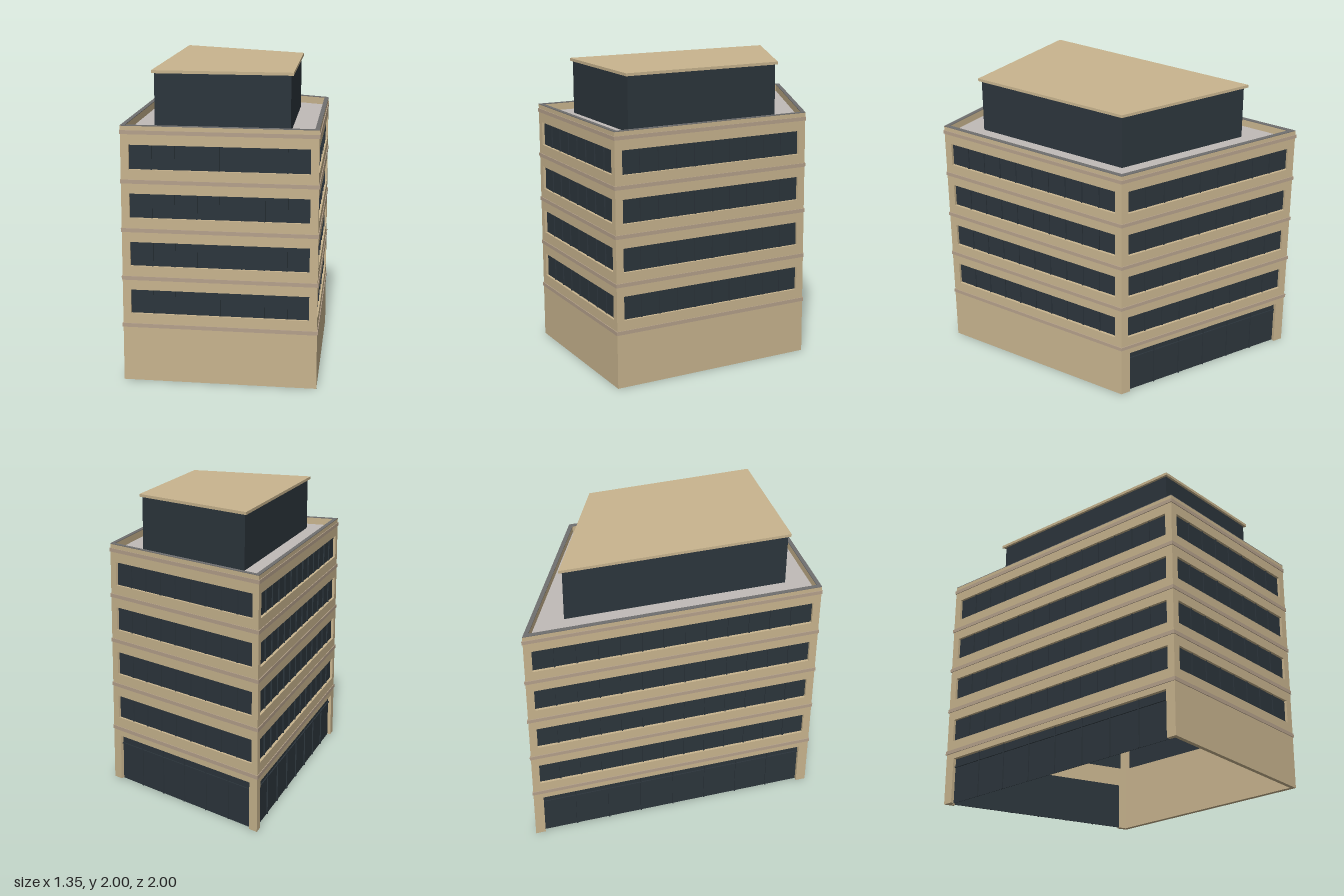
import * as THREE from 'three';

const material = (name, color) => {
  const m = new THREE.MeshStandardMaterial({ color });
  m.name = name;
  return m;
};

// Plan corners as [x, z]: front left, front right, back right, back left
const PLAN = [[-0.585, 0.99], [0.667, 0.97], [0.583, -0.458], [-0.67, -1]];
const PENTHOUSE = [[-0.405, 0.8], [0.467, 0.787], [0.4, -0.328], [-0.468, -0.7]];
const WALL_TOP = 1.67, THICK = 0.028;
const WINDOW_Y = [0.45, 0.765, 1.08, 1.393], WINDOW_H = 0.158;
const STORE_H = 0.318;

// Direction of the plan edge leaving corner i, and its length
function edge(plan, i) {
  const p = plan[i], q = plan[(i + 1) % plan.length];
  const dx = q[0] - p[0], dz = q[1] - p[1], length = Math.hypot(dx, dz);
  return { dx: dx / length, dz: dz / length, length };
}

// Move every side of a plan outward by d
function offset(plan, d) {
  return plan.map((p, i) => {
    const a = edge(plan, (i + plan.length - 1) % plan.length), b = edge(plan, i);
    const k = d / (1 + a.dx * b.dx + a.dz * b.dz);
    return [p[0] - (a.dz + b.dz) * k, p[1] + (a.dx + b.dx) * k];
  });
}

const points = (plan) => plan.map(([x, z]) => new THREE.Vector2(x, -z));

// Horizontal slab from y0 to y1, optionally hollow
function slab(name, plan, y0, y1, mat, hole) {
  const shape = new THREE.Shape(points(plan));
  if (hole) shape.holes.push(new THREE.Path(points(hole)));
  const geo = new THREE.ExtrudeGeometry(shape, { depth: y1 - y0, bevelEnabled: false });
  geo.rotateX(-Math.PI / 2).translate(0, y0, 0);
  const mesh = new THREE.Mesh(geo, mat);
  mesh.name = name;
  return mesh;
}

function box(name, x0, x1, y0, y1, z0, z1, mat) {
  const mesh = new THREE.Mesh(new THREE.BoxGeometry(x1 - x0, y1 - y0, z1 - z0), mat);
  mesh.position.set((x0 + x1) / 2, (y0 + y1) / 2, (z0 + z1) / 2);
  mesh.name = name;
  return mesh;
}

// Recessed glass with slim upright fins
function glazing(name, x0, x1, y0, y1, depth, panels, mat) {
  const g = new THREE.Group();
  g.name = name;
  g.add(box('glass', x0, x1, y0, y1, -depth - 0.004, -depth, mat));
  for (let i = 1; i < panels; i++) {
    const x = x0 + ((x1 - x0) * i) / panels;
    g.add(box('mullion', x - 0.004, x + 0.004, y0, y1, -depth, -depth + 0.008, mat));
  }
  return g;
}

// One facade, built flat in x and y, then turned onto its plan edge
function facade(name, i, panels, storePanels, stone, glass) {
  const g = new THREE.Group();
  g.name = name;
  const { dx, dz, length: L } = edge(PLAN, i);
  const m = 0.052, s = 0.068;

  const outline = storePanels
    ? [[0, 0], [s, 0], [s, STORE_H], [L - s, STORE_H], [L - s, 0], [L, 0], [L, WALL_TOP], [0, WALL_TOP]]
    : [[0, 0], [L, 0], [L, WALL_TOP], [0, WALL_TOP]];
  const shape = new THREE.Shape(outline.map((p) => new THREE.Vector2(...p)));
  for (const y of WINDOW_Y) {
    const hole = [[m, y], [m, y + WINDOW_H], [L - m, y + WINDOW_H], [L - m, y]];
    shape.holes.push(new THREE.Path(hole.map((p) => new THREE.Vector2(...p))));
    g.add(glazing('windowBand', m, L - m, y, y + WINDOW_H, 0.018, panels, glass));
  }
  const geo = new THREE.ExtrudeGeometry(shape, { depth: THICK, bevelEnabled: false });
  geo.translate(0, 0, -THICK);

  // Mitre the inner edges so neighbouring walls meet
  const inner = offset(PLAN, -THICK), pos = geo.attributes.position;
  const along = (p) => (p[0] - PLAN[i][0]) * dx + (p[1] - PLAN[i][1]) * dz;
  const start = along(inner[i]), end = along(inner[(i + 1) % 4]);
  for (let v = 0; v < pos.count; v++) {
    if (pos.getZ(v) > -THICK / 2) continue;
    if (pos.getX(v) < 1e-4) pos.setX(v, start);
    else if (pos.getX(v) > L - 1e-4) pos.setX(v, end);
  }
  geo.computeVertexNormals();
  const wall = new THREE.Mesh(geo, stone);
  wall.name = 'wall';
  g.add(wall);

  // Ground floor shop glazing with a transom
  if (storePanels) {
    g.add(glazing('storefront', s, L - s, 0, STORE_H, 0.024, storePanels, glass));
    g.add(box('transom', s, L - s, 0.256, 0.264, -0.024, -0.016, glass));
  }

  g.position.set(PLAN[i][0], 0, PLAN[i][1]);
  g.rotation.y = Math.atan2(-dz, dx);
  return g;
}

export function createModel() {
  const stone = material('sandstone', 0xc8b48e);
  const trim = material('bandTrim', 0xb5a18b);
  const glass = material('darkGlass', 0x2c353c);
  const deck = material('roofDeck', 0xc0bab7);
  const coping = material('copingGrey', 0x6f6f6f);

  const model = new THREE.Group();
  model.name = 'officeBuilding';

  // Four walls; the shops are on the back and right sides
  model.add(
    facade('frontFacade', 0, 8, 0, stone, glass),
    facade('leftFacade', 1, 10, 0, stone, glass),
    facade('backFacade', 2, 9, 6, stone, glass),
    facade('rightFacade', 3, 13, 8, stone, glass)
  );

  // Floor bands
  for (let i = 0; i < 5; i++) {
    const y = 0.358 + i * 0.315;
    model.add(slab('floorBand', offset(PLAN, 0.005), y, y + 0.025, trim, offset(PLAN, -0.002)));
  }

  // Roof deck and parapet coping
  model.add(slab('roofDeck', offset(PLAN, -0.015), 1.6, 1.622, deck));
  model.add(slab('coping', PLAN, WALL_TOP, WALL_TOP + 0.004, coping, offset(PLAN, -THICK)));

  // Glazed penthouse with overhanging cap
  model.add(slab('penthouse', PENTHOUSE, 1.61, 1.981, glass));
  model.add(slab('penthouseCap', offset(PENTHOUSE, 0.016), 1.981, 2, stone));

  return model;
}
